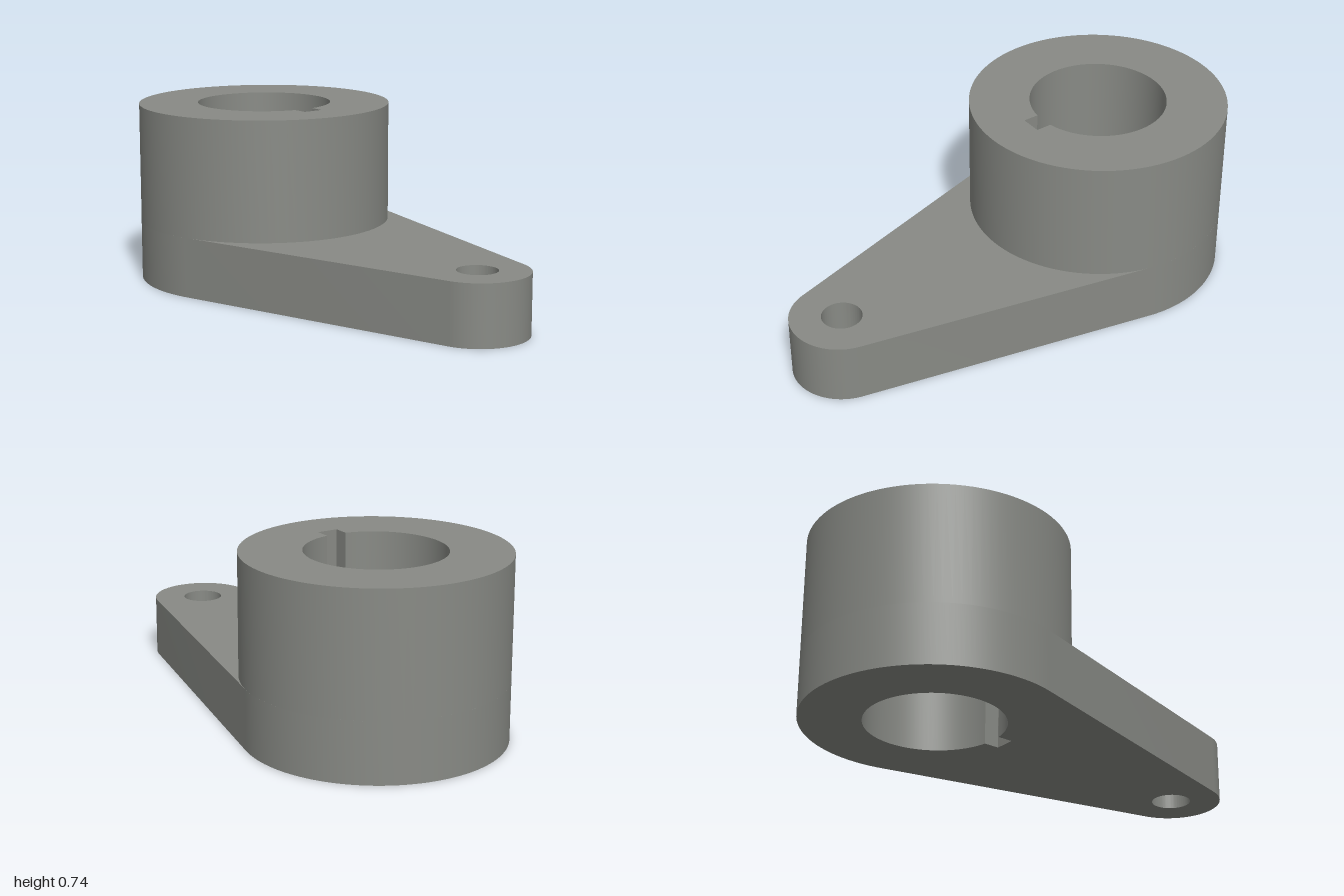
import * as THREE from 'three';
import { toCreasedNormals } from 'three/addons/utils/BufferGeometryUtils.js';

// Plan coordinates: shape x = model x, shape y = -z
const BOSS = { x: 0, y: 0.478, r: 0.522 };
const EYE = { x: 0.05, y: -0.795, r: 0.205 };
const BORE_R = 0.277, PIN_R = 0.08;
const KEY_HALF = 0.043, KEY_END = 0.14;
const ARM_H = 0.246, BOSS_H = 0.738;

// Round bore with a square keyway facing the arm
function keyedBore() {
  const a = Math.asin(KEY_HALF / BORE_R);
  const path = new THREE.Path();
  path.moveTo(-KEY_HALF, KEY_END);
  path.lineTo(KEY_HALF, KEY_END);
  path.absarc(BOSS.x, BOSS.y, BORE_R, -Math.PI / 2 + a, 1.5 * Math.PI - a, false);
  path.closePath();
  return path;
}

// Two arcs joined by their outer tangents
function armOutline() {
  const dx = EYE.x - BOSS.x, dy = EYE.y - BOSS.y;
  const dir = Math.atan2(dy, dx);
  const spread = Math.acos((BOSS.r - EYE.r) / Math.hypot(dx, dy));
  const right = dir + spread, left = dir - spread + 2 * Math.PI;
  const shape = new THREE.Shape();
  shape.absarc(BOSS.x, BOSS.y, BOSS.r, right, left, false);
  shape.absarc(EYE.x, EYE.y, EYE.r, left, right + 2 * Math.PI, false);
  shape.closePath();
  return shape;
}

function plate(name, shape, bottom, top, material) {
  const extruded = new THREE.ExtrudeGeometry(shape, {
    depth: top - bottom, bevelEnabled: false, curveSegments: 48,
  });
  extruded.rotateX(-Math.PI / 2);
  extruded.translate(0, bottom, 0);
  const mesh = new THREE.Mesh(toCreasedNormals(extruded, 0.5), material);
  mesh.name = name;
  return mesh;
}

export function createModel() {
  const metal = new THREE.MeshStandardMaterial({ color: 0x888a85 });
  metal.name = 'grey metal';

  // Flat lever arm with bore and pin hole
  const arm = armOutline();
  const pinHole = new THREE.Path();
  pinHole.absarc(EYE.x, EYE.y, PIN_R, 0, 2 * Math.PI, false);
  arm.holes.push(keyedBore(), pinHole);

  // Raised hub continuing the bore and keyway
  const hub = new THREE.Shape();
  hub.absarc(BOSS.x, BOSS.y, BOSS.r, 0, 2 * Math.PI, false);
  hub.holes.push(keyedBore());

  const model = new THREE.Group();
  model.name = 'crankLever';
  model.add(
    plate('leverArm', arm, 0, ARM_H, metal),
    plate('hub', hub, ARM_H, BOSS_H, metal),
  );
  return model;
}
